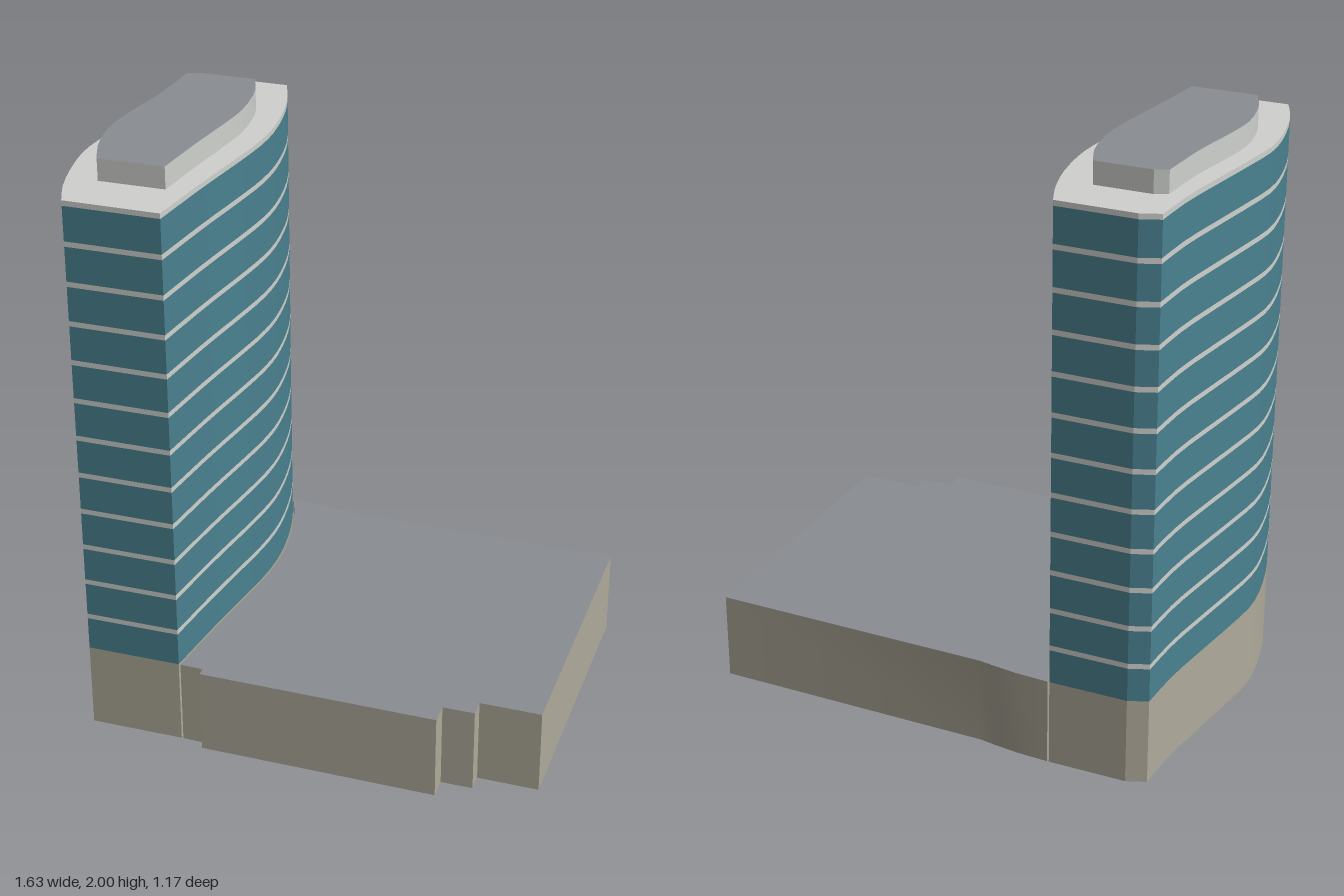
import * as THREE from 'three';
import { toCreasedNormals } from 'three/addons/utils/BufferGeometryUtils.js';

const mat = (name, color) => {
  const m = new THREE.MeshStandardMaterial({ color });
  m.name = name;
  return m;
};

// Smooth run through [x, z] points
const curve = (pts, n = 16) =>
  new THREE.SplineCurve(pts.map(([x, z]) => new THREE.Vector2(x, z))).getPoints(n).map((p) => [p.x, p.y]);

// Vertical prism over an [x, z] outline, from y0 to y1
function prism(name, outline, y0, y1, material) {
  const shape = new THREE.Shape(outline.map(([x, z]) => new THREE.Vector2(x, -z)));
  const geo = new THREE.ExtrudeGeometry(shape, { depth: y1 - y0, bevelEnabled: false });
  geo.rotateX(-Math.PI / 2).translate(0, y0, 0);
  const mesh = new THREE.Mesh(toCreasedNormals(geo, 0.35), material);
  mesh.name = name;
  return mesh;
}

export function createModel() {
  const glass = mat('blue glass', 0x4a8290);
  const pale = mat('pale slab', 0xd0d2ce);
  const stone = mat('beige stone', 0xb0ab9b);
  const roof = mat('grey roof', 0x8a8d92);

  const group = new THREE.Group();
  group.name = 'towerWithPodium';
  const podiumH = 0.3, towerTop = 1.925, plate = 0.005;

  // Tower footprint: two bowed long sides joined by short ends
  const east = curve([[-0.395, -0.585], [-0.36, -0.49], [-0.33, -0.37], [-0.312, -0.22],
    [-0.315, -0.09], [-0.337, 0.065], [-0.373, 0.28], [-0.41, 0.54]]);
  const west = curve([[-0.73, 0.538], [-0.775, 0.42], [-0.808, 0.26], [-0.817, 0.13],
    [-0.797, -0.02], [-0.767, -0.2], [-0.737, -0.39], [-0.725, -0.56]]);
  const footprint = [...east, ...west, [-0.66, -0.585]];
  group.add(prism('towerBase', footprint, 0, podiumH, stone));

  // Storeys: glazing topped by a pale slab band
  const floors = 12, step = (towerTop - podiumH) / floors, band = 0.018;
  const tower = new THREE.Group();
  tower.name = 'tower';
  for (let i = 0; i < floors; i++) {
    const y = podiumH + i * step;
    tower.add(prism('glazing', footprint, y, y + step - band, glass));
    tower.add(prism('slabBand', footprint, y + step - band, y + step, pale));
  }
  group.add(tower);

  // Podium beside the tower, a hairline away from its curved side
  const podium = [
    ...east.map(([x, z]) => [x + 0.006, z]),
    [-0.325, 0.543], [-0.325, 0.572], [0.487, 0.583], [0.487, 0.51], [0.595, 0.51], [0.595, 0.451],
    [0.803, 0.453], [0.815, -0.548], [-0.14, -0.56], [-0.2, -0.57], [-0.28, -0.58],
  ];
  group.add(prism('podium', podium, 0, podiumH - plate, stone));
  group.add(prism('podiumRoof', podium, podiumH - plate, podiumH, [roof, stone]));

  // Rooftop plant room
  const crown = [
    ...curve([[-0.45, -0.42], [-0.41, -0.31], [-0.395, -0.15], [-0.408, -0.02], [-0.435, 0.16], [-0.46, 0.367]], 12),
    ...curve([[-0.683, 0.367], [-0.725, 0.25], [-0.745, 0.11], [-0.73, -0.03], [-0.7, -0.2], [-0.682, -0.402]], 12),
    [-0.64, -0.42],
  ];
  group.add(prism('plantRoom', crown, towerTop, 2 - plate, pale));
  group.add(prism('plantRoomRoof', crown, 2 - plate, 2, [roof, pale]));

  return group;
}
